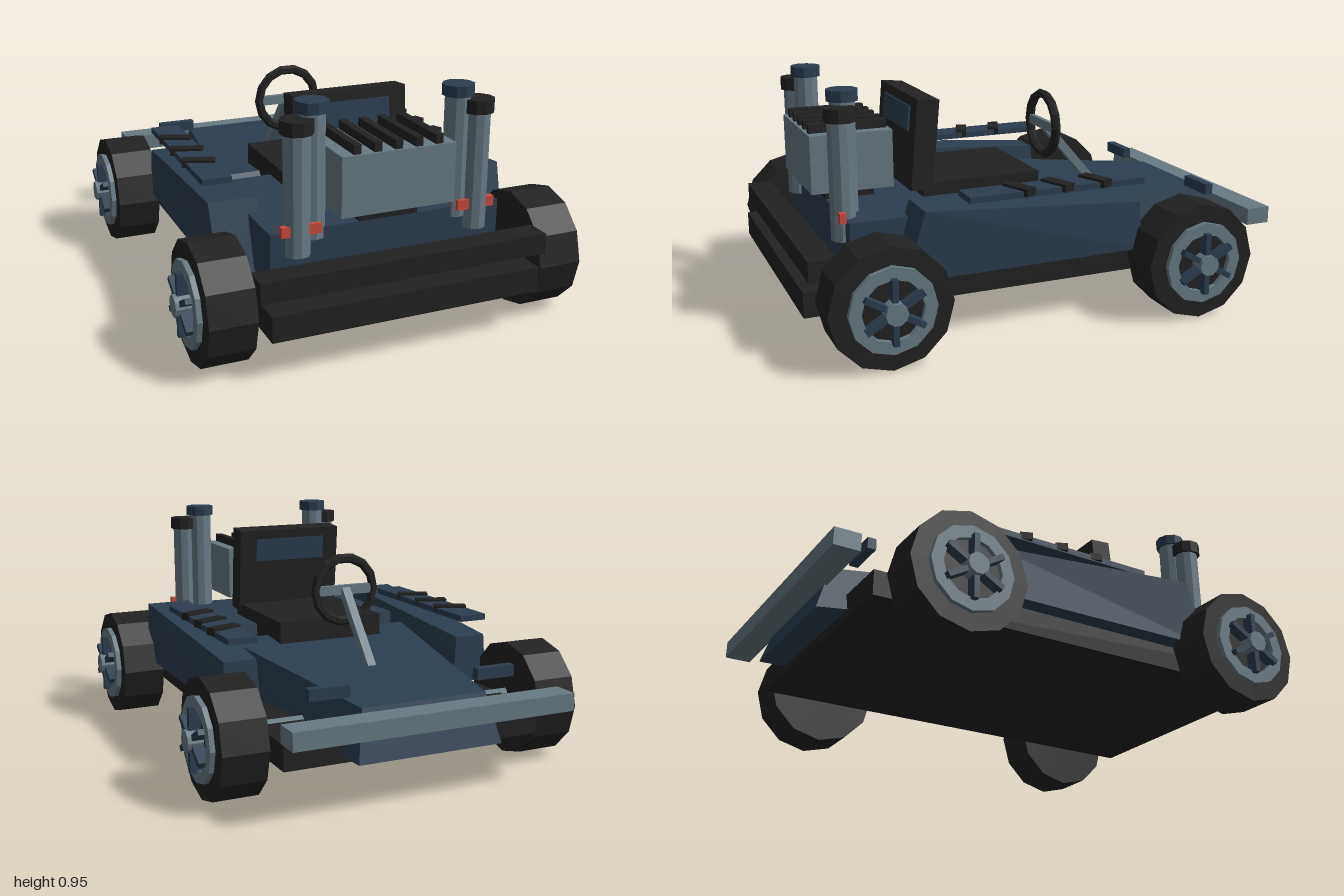
import * as THREE from 'three';

export function createModel() {
  const mat = (name, color) => {
    const m = new THREE.MeshStandardMaterial({ color, flatShading: true });
    m.name = name;
    return m;
  };
  const navy = mat('navy paint', 0x2c3e50);
  const steel = mat('grey steel', 0x687a84);
  const black = mat('black', 0x222222);
  const red = mat('red', 0xcc4a3c);

  const model = new THREE.Group();
  model.name = 'kart';

  const add = (name, geo, material, x = 0, y = 0, z = 0, parent = model) => {
    const mesh = new THREE.Mesh(geo, material);
    mesh.name = name;
    mesh.position.set(x, y, z);
    parent.add(mesh);
    return mesh;
  };
  // Box given by its extents on each axis
  const box = (name, material, x, y, z, parent = model) =>
    add(name, new THREE.BoxGeometry(x[1] - x[0], y[1] - y[0], z[1] - z[0]), material,
      (x[0] + x[1]) / 2, (y[0] + y[1]) / 2, (z[0] + z[1]) / 2, parent);
  // Extent mirrored to side s
  const ext = (s, a, b) => (s > 0 ? [a, b] : [-b, -a]);

  // Four-sided loft along +z; section: z [bottom, top], y [bottom, top], x extents of bottom and top
  const loft = (sections) => {
    const rings = sections.map(({ z, y, b, t }) => [
      [b[0], y[0], z[0]], [b[1], y[0], z[0]], [t[1], y[1], z[1]], [t[0], y[1], z[1]],
    ]);
    const pos = [];
    const quad = (a, b, c, d) => pos.push(...a, ...b, ...c, ...a, ...c, ...d);
    for (let i = 0; i < rings.length - 1; i++) {
      for (let j = 0; j < 4; j++) {
        const k = (j + 1) % 4;
        quad(rings[i][j], rings[i][k], rings[i + 1][k], rings[i + 1][j]);
      }
    }
    const first = rings[0], last = rings[rings.length - 1];
    quad(first[3], first[2], first[1], first[0]);
    quad(last[0], last[1], last[2], last[3]);
    const g = new THREE.BufferGeometry();
    g.setAttribute('position', new THREE.Float32BufferAttribute(pos, 3));
    g.computeVertexNormals();
    return g;
  };

  // Chassis and bumpers
  box('floorPan', black, [-0.54, 0.54], [0.165, 0.265], [-0.825, 1.0]);
  box('frontBumper', black, [-0.575, 0.575], [0.31, 0.39], [0.885, 0.985]);
  box('rearBumper', steel, [-0.58, 0.58], [0.297, 0.367], [-1.0, -0.895]);

  // Tapered tail, cockpit well and engine deck
  const sec = (zb, zt, yb, yt, wb, wt) => ({ z: [zb, zt], y: [yb, yt], b: [-wb, wb], t: [-wt, wt] });
  add('body', loft([
    sec(-0.94, -0.88, 0.19, 0.38, 0.30, 0.26),
    sec(0.06, 0.06, 0.27, 0.455, 0.45, 0.42),
    sec(0.115, 0.115, 0.27, 0.39, 0.45, 0.45),
    sec(0.18, 0.18, 0.27, 0.39, 0.46, 0.46),
    sec(0.19, 0.19, 0.27, 0.48, 0.47, 0.47),
    sec(0.80, 0.80, 0.28, 0.48, 0.47, 0.47),
  ]), navy);

  // Seat: cushion, leaning back and headrest panel
  box('seatCushion', black, [-0.235, 0.235], [0.40, 0.535], [-0.08, 0.43]);
  const seatBack = new THREE.Group();
  seatBack.name = 'seatBack';
  seatBack.position.set(0, 0.69, 0.42);
  seatBack.rotation.x = -0.09;
  model.add(seatBack);
  box('backrest', black, [-0.24, 0.24], [-0.185, 0.185], [-0.046, 0.046], seatBack);
  box('headrestPanel', navy, [-0.165, 0.165], [0.045, 0.145], [-0.054, 0.054], seatBack);

  // Steering wheel and column
  add('steeringWheel', new THREE.TorusGeometry(0.133, 0.02, 6, 14), black, 0, 0.68, -0.208);
  box('steeringSpoke', steel, [-0.13, 0.13], [0.66, 0.7], [-0.218, -0.198]);
  const top = new THREE.Vector3(0, 0.68, -0.21), foot = new THREE.Vector3(0, 0.40, -0.45);
  const column = add('steeringColumn',
    new THREE.BoxGeometry(0.036, 0.036, top.distanceTo(foot)), steel);
  column.position.copy(top).add(foot).multiplyScalar(0.5);
  column.lookAt(top);

  // Engine with black top fins
  box('engineBlock', steel, [-0.228, 0.228], [0.535, 0.765], [0.55, 0.88]);
  box('engineMount', black, [-0.12, 0.12], [0.47, 0.54], [0.60, 0.80]);
  for (let i = -2; i <= 2; i++) {
    const x = i * 0.082;
    box('engineFin', black, [x - 0.015, x + 0.015], [0.76, 0.8], [0.56, 0.87]);
  }

  // Exhaust stack: pipe with a wider cap
  const stack = (x, z, y0, y1, capH, capMat) => {
    add('exhaustPipe', new THREE.CylinderGeometry(0.05, 0.05, y1 - y0, 10), steel, x, (y0 + y1) / 2, z);
    add('exhaustCap', new THREE.CylinderGeometry(0.062, 0.062, capH, 10), capMat, x, y1 - capH / 2 + 0.003, z);
  };

  // Wheel whose outer face points to +x
  const makeWheel = () => {
    const w = new THREE.Group();
    w.name = 'wheel';
    const lying = (name, geo, m, x) => { add(name, geo, m, x, 0, 0, w).rotation.z = -Math.PI / 2; };
    lying('tyre', new THREE.CylinderGeometry(0.235, 0.235, 0.18, 12), black, 0);
    const profile = [[0.118, 0], [0.166, 0], [0.166, 0.02], [0.118, 0.02], [0.118, 0]]
      .map(([r, h]) => new THREE.Vector2(r, h));
    lying('rimRing', new THREE.LatheGeometry(profile, 12), steel, 0.09);
    lying('hub', new THREE.CylinderGeometry(0.042, 0.042, 0.06, 10), steel, 0.12);
    for (let i = 0; i < 3; i++) {
      add('rimSpokes', new THREE.BoxGeometry(0.045, 0.25, 0.022), navy, 0.1125, 0, 0, w)
        .rotation.x = i * Math.PI / 3;
    }
    return w;
  };

  for (const z of [0.73, -0.555]) {
    add('axle', new THREE.CylinderGeometry(0.018, 0.018, 1.2, 8), steel, 0, 0.26, z).rotation.z = Math.PI / 2;
  }

  // Everything mirrored on both sides
  for (const s of [1, -1]) {
    for (const z of [0.73, -0.555]) {
      const wheel = makeWheel();
      wheel.position.set(s * 0.665, 0.238, z);
      if (s < 0) wheel.rotation.y = Math.PI;
      model.add(wheel);
    }
    // Side pod with a raised vent strip
    add('sidePod', loft([
      { z: [-0.37, -0.36], y: [0.27, 0.465], b: ext(s, 0.44, 0.60), t: ext(s, 0.455, 0.59) },
      { z: [0.635, 0.555], y: [0.27, 0.538], b: ext(s, 0.43, 0.61), t: ext(s, 0.43, 0.62) },
    ]), navy);
    box('ventStrip', navy, ext(s, 0.46, 0.58), [0.535, 0.56], [-0.385, 0.365]);
    for (const z of [0.14, -0.025, -0.19]) {
      add('ventSlat', new THREE.BoxGeometry(0.135, 0.03, 0.05), black, s * 0.525, 0.555, z)
        .rotation.y = s * 0.38;
    }
    box('tailFin', navy, ext(s, 0.27, 0.435), [0.405, 0.45], [-0.81, -0.775]);
    stack(s * 0.295, 0.765, 0.44, 0.95, 0.043, navy);
    stack(s * 0.365, 0.795, 0.39, 0.895, 0.052, black);
    box('exhaustClamp', red, ext(s, 0.28, 0.435), [0.47, 0.51], [0.80, 0.825]);
  }
  return model;
}
